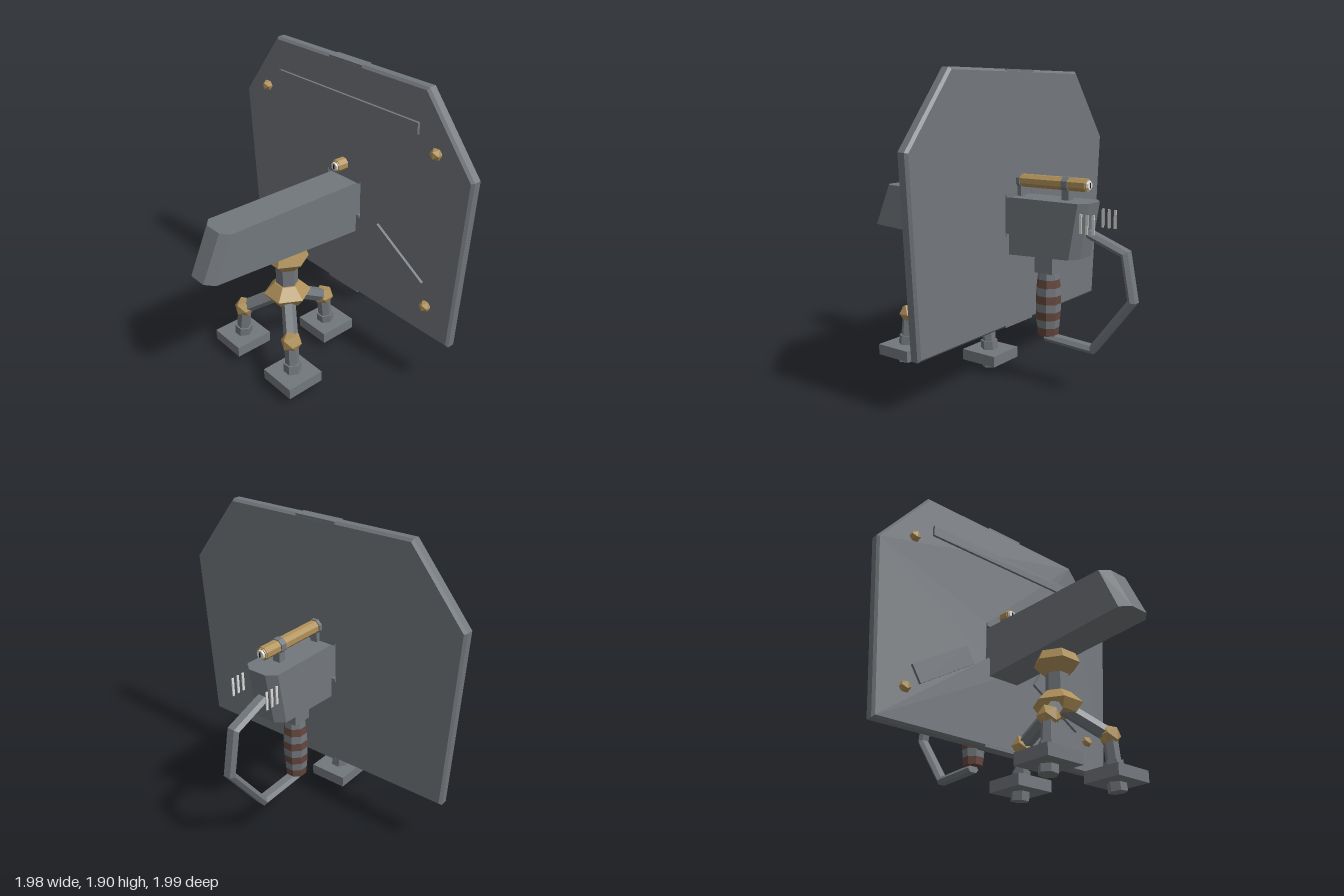
import * as THREE from 'three';
import { ConvexGeometry } from 'three/addons/geometries/ConvexGeometry.js';

const mat = (name, color) => {
  const m = new THREE.MeshStandardMaterial({ color, flatShading: true });
  m.name = name;
  return m;
};

export function createModel() {
  const steel = mat('gunmetal', 0x72777c);
  const brass = mat('brass', 0xb0915a);
  const brown = mat('grip brown', 0x64473d);
  const white = mat('pale glass', 0xdcdcdc);
  const black = mat('black', 0x1c1c1c);

  const root = new THREE.Group();
  root.name = 'shieldedGun';
  const V = (x, y, z) => new THREE.Vector3(x, y, z);

  const add = (name, geo, material, x = 0, y = 0, z = 0, parent = root) => {
    const m = new THREE.Mesh(geo, material);
    m.name = name;
    m.position.set(x, y, z);
    parent.add(m);
    return m;
  };
  const box = (name, w, h, d, material, x, y, z, parent) =>
    add(name, new THREE.BoxGeometry(w, h, d), material, x, y, z, parent);
  // Straight prism or cone running from point a to point b
  const rod = (name, a, b, ra, rb, sides, material, parent) => {
    const mid = a.clone().add(b).multiplyScalar(0.5);
    const geo = new THREE.CylinderGeometry(rb, ra, a.distanceTo(b), sides);
    geo.rotateY(Math.PI / sides);
    const m = add(name, geo, material, mid.x, mid.y, mid.z, parent);
    m.quaternion.setFromUnitVectors(V(0, 1, 0), b.clone().sub(a).normalize());
    return m;
  };

  // Shield: bevelled plate with an opening for the gun
  const outline = new THREE.Shape([[-0.92, 0.34], [0.92, 0.34], [0.99, 1.47], [0.64, 1.905],
    [-0.64, 1.905], [-0.99, 1.47]].map(p => new THREE.Vector2(...p)));
  outline.holes.push(new THREE.Path([[-0.135, 0.925], [-0.135, 1.15], [0.135, 1.15], [0.135, 0.925]]
    .map(p => new THREE.Vector2(...p))));
  add('shield', new THREE.ExtrudeGeometry(outline, {
    depth: 0.046, bevelThickness: 0.015, bevelSize: 0.015, bevelOffset: -0.015, bevelSegments: 1,
  }), steel, 0, 0, -0.173);
  box('shieldSpineTop', 0.28, 0.755, 0.075, steel, 0, 1.5275, -0.15);
  box('shieldSpineBottom', 0.28, 0.585, 0.075, steel, 0, 0.6325, -0.15);

  // Raised strips and corner bolts on the shield front
  box('topStrip', 1.2, 0.07, 0.02, steel, 0, 1.665, -0.105);
  for (const s of [-1, 1]) {
    box('slantedStrip', 0.454, 0.123, 0.02, steel, s * 0.476, 0.776, -0.104).rotation.z = -s * 0.555;
    for (const y of [0.56, 1.56]) {
      add('shieldBolt', new THREE.IcosahedronGeometry(0.038, 0), brass, s * 0.738, y, -0.1);
    }
  }

  // Gun body: long wedge with chamfered corners
  const bodyPoints = [
    [0.06, 1.15, 0.87], [0.115, 1.15, 0.825], [0.115, 1.15, -0.665], [0.06, 1.15, -0.71],
    [0.06, 0.87, 1.0], [0.115, 0.867, 0.95], [0.115, 0.8, -0.2], [0.115, 0.818, -0.61], [0.06, 0.82, -0.655],
  ].flatMap(([x, y, z]) => [V(x, y, z), V(-x, y, z)]);
  add('gunBody', new ConvexGeometry(bodyPoints), steel);

  // Thin pale fins beside the rear of the body
  for (const s of [-1, 1]) {
    for (const z of [-0.695, -0.735, -0.775]) {
      box('rearFin', 0.006, 0.112, 0.016, white, s * 0.128, 1.042, z);
    }
  }

  // Sight tube, its mounts and end lenses
  const sight = new THREE.Group();
  sight.name = 'sight';
  root.add(sight);
  const sy = 1.245;
  rod('sightTube', V(0, sy, -0.66), V(0, sy, -0.045), 0.041, 0.041, 8, brass, sight);
  for (const z of [-0.19, -0.525]) {
    rod('sightBand', V(0, sy, z - 0.02), V(0, sy, z + 0.02), 0.047, 0.047, 8, steel, sight);
    box('sightMount', 0.05, 0.09, 0.048, steel, 0, 1.175, z, sight);
  }
  for (const [z, s] of [[-0.045, 1], [-0.66, -1]]) {
    rod('sightRim', V(0, sy, z), V(0, sy, z + s * 0.008), 0.037, 0.035, 8, brass, sight);
    rod('sightLens', V(0, sy, z), V(0, sy, z + s * 0.018), 0.034, 0.026, 8, white, sight);
    box('sightSlit', 0.009, 0.03, 0.004, black, 0, sy, z + s * 0.019, sight);
  }

  // Rear grip with alternating bands
  const gripR = t => 0.064 + 0.014 * Math.sin(Math.PI * t);
  const bands = 8, gripTop = 0.71, bandH = 0.05, gz = -0.404;
  for (let i = 0; i < bands; i++) {
    const y = gripTop - i * bandH;
    rod('gripBand', V(0, y - bandH, gz), V(0, y, gz), gripR((i + 1) / bands), gripR(i / bands),
      8, i % 2 ? brown : steel);
  }
  box('gripNeck', 0.12, 0.12, 0.125, steel, 0, 0.76, gz);

  // Guard: mitred six-sided bar from the body's rear round to the grip's foot
  const path = [[-0.66, 0.975], [-0.917, 0.878], [-0.97, 0.61], [-0.722, 0.278], [-0.4, 0.293]]
    .map(p => new THREE.Vector2(...p));
  const normals = path.slice(1).map((p, i) => {
    const d = p.clone().sub(path[i]).normalize();
    return new THREE.Vector2(-d.y, d.x);
  });
  const section = [[0.042, 0], [0.024, 0.023], [-0.024, 0.023], [-0.042, 0], [-0.024, -0.023], [0.024, -0.023]];
  const rings = path.map((p, i) => {
    const a = normals[Math.max(i - 1, 0)], b = normals[Math.min(i, normals.length - 1)];
    const n = a.clone().add(b).divideScalar(1 + a.dot(b));
    return section.map(([x, h]) => V(x, p.y + n.y * h, p.x + n.x * h));
  });
  for (let i = 0; i < normals.length; i++) {
    add('guardBar', new ConvexGeometry([...rings[i], ...rings[i + 1]]), steel);
  }

  // Tripod column with two faceted collars
  const cz = 0.365;
  const collar = (name, profile) => {
    const geo = new THREE.LatheGeometry(profile.map(p => new THREE.Vector2(...p)), 6);
    geo.rotateY(Math.PI / 6);
    add(name, geo, brass, 0, 0, cz);
  };
  rod('column', V(0, 0.47, cz), V(0, 0.85, cz), 0.07, 0.07, 6, steel);
  collar('upperCollar', [[0, 0.69], [0.075, 0.69], [0.14, 0.755], [0.115, 0.815], [0, 0.82]]);
  collar('lowerCollar', [[0, 0.45], [0.11, 0.45], [0.15, 0.505], [0.08, 0.575], [0, 0.575]]);

  // Three legs: thigh, knee, shin, ankle peg and square foot
  const legs = [
    ['leftLeg', 0.24, 0.535, 0.262, 0.548],
    ['rightLeg', -0.24, 0.535, -0.262, 0.548],
    ['rearLeg', 0, 0.065, 0, 0.043],
  ];
  for (const [name, kx, kz, fx, fz] of legs) {
    const leg = new THREE.Group();
    leg.name = name;
    root.add(leg);
    const knee = V(kx, 0.33, kz);
    const end = V(fx + (fx - kx) * 0.2, 0.005, fz + (fz - kz) * 0.2);
    const ankle = knee.clone().lerp(end, 0.46);
    rod('thigh', V(kx * 0.1, 0.49, cz + (kz - cz) * 0.1), knee, 0.045, 0.045, 6, steel, leg);
    add('knee', new THREE.IcosahedronGeometry(0.068, 0), brass, kx, 0.33, kz, leg);
    rod('shin', knee, ankle, 0.044, 0.044, 6, steel, leg);
    rod('anklePeg', ankle, end, 0.056, 0.056, 6, steel, leg);
    box('foot', 0.254, 0.07, 0.254, steel, fx, 0.09, fz, leg);
  }
  return root;
}
